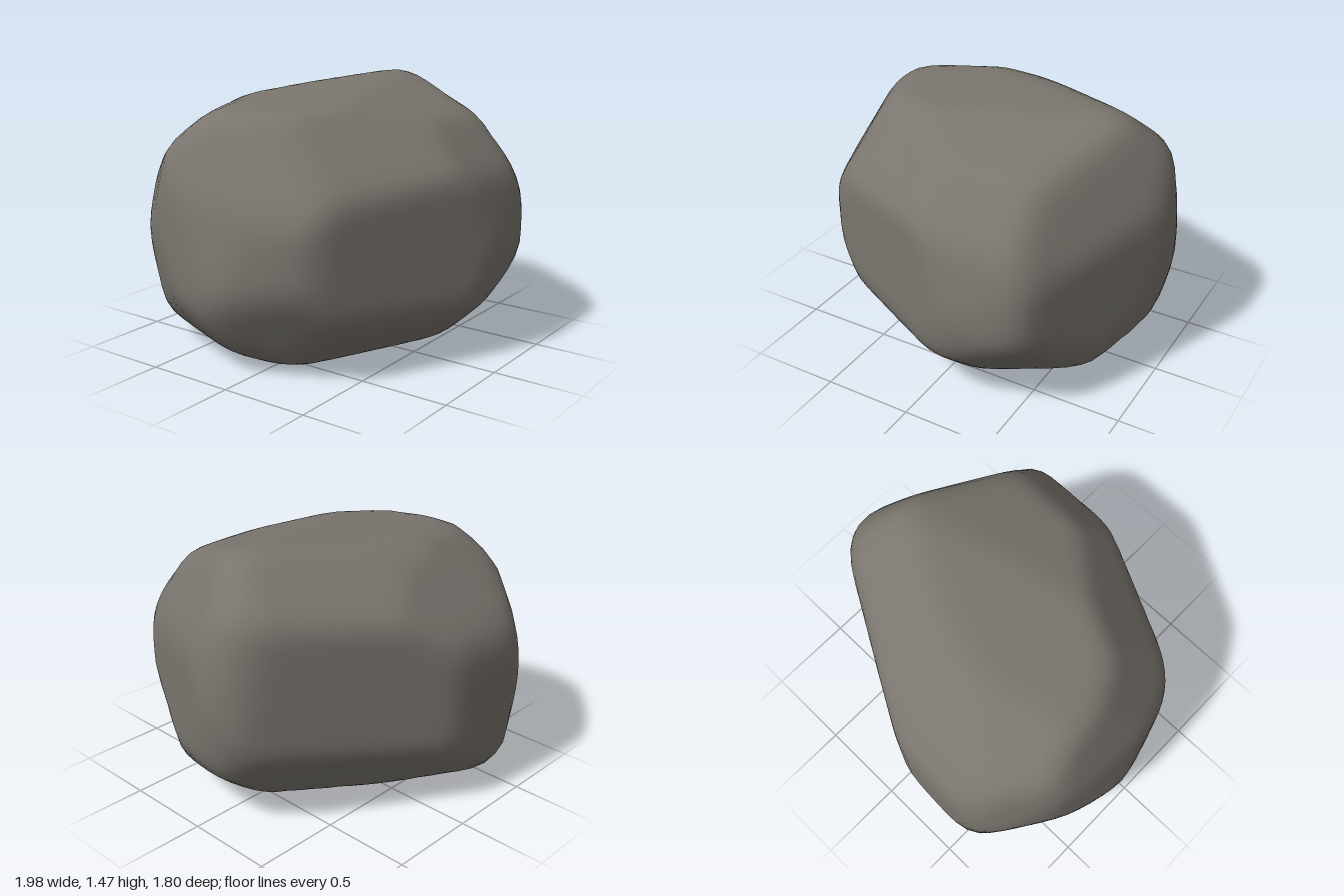
import * as THREE from 'three';
import { mergeVertices } from 'three/addons/utils/BufferGeometryUtils.js';

const CENTRE_Y = 0.73;
const X = new THREE.Vector3(1, 0, 0);
const Y = new THREE.Vector3(0, 1, 0);
const Z = new THREE.Vector3(0, 0, 1);

// Two axes turned about y, then tilted
function slanted(turn, tilt) {
  const rot = new THREE.Euler(THREE.MathUtils.degToRad(-tilt), THREE.MathUtils.degToRad(turn), 0, 'YXZ');
  return [X.clone().applyEuler(rot), Y.clone().applyEuler(rot)];
}

// Convex profiles about the stone's centre; each trims it along one direction
const frontCut = [[-0.56, -0.74], [-0.86, -0.6], [-1.01, -0.3], [-0.93, 0.2], [-0.75, 0.625],
  [0.7, 0.745], [0.93, 0.46], [1.01, 0.02], [0.93, -0.42], [0.65, -0.64]];
const sideCut = [[0.91, -0.13], [0.85, -0.41], [0.58, -0.66], [-0.1, -0.74], [-0.88, -0.63],
  [-0.9, 0.1], [-0.86, 0.24], [-0.5, 0.65], [-0.04, 0.75], [0.57, 0.56], [0.82, 0.27]];
const topCut = [[-1.01, -0.08], [-0.86, 0.41], [0.19, 0.91], [0.6, 0.85], [1.01, -0.1],
  [0.94, -0.3], [-0.06, -0.88], [-0.56, -0.91], [-0.72, -0.82], [-0.88, -0.54]];
const leftCornerCut = [[-0.97, 0.1], [-0.45, 0.87], [0.2, 0.8], [0.87, 0.37], [0.93, -0.25],
  [0.75, -0.7], [0.1, -0.88], [-0.25, -0.85], [-0.98, -0.25]];
const backCornerCut = [[-0.92, 0.55], [-0.57, 0.85], [0.26, 0.76], [0.9, 0.16], [0.9, -0.3],
  [0.58, -0.82], [-0.2, -0.96], [-0.96, -0.07]];
const undersideCut = [[-1.02, -0.28], [-1.02, -0.07], [-0.55, 0.92], [0.5, 0.68], [0.97, 0.39],
  [1.06, 0], [0.97, -0.44], [0.66, -0.8], [0.15, -0.86], [-0.52, -0.74]];

// Turn every profile edge into a cutting plane at distance h along normal n
function cuttingPlanes([u, v], points) {
  return points.map(([x, y], i) => {
    const [x2, y2] = points[(i + 1) % points.length];
    const edge = new THREE.Vector2(y2 - y, x - x2).normalize();
    if (edge.x * x + edge.y * y < 0) edge.negate();
    const h = Math.max(...points.map(([px, py]) => edge.x * px + edge.y * py));
    return { n: u.clone().multiplyScalar(edge.x).addScaledVector(v, edge.y), h };
  });
}

// Distance from the centre to the nearest cutting plane along d
function reach(planes, d) {
  let r = Infinity;
  for (const { n, h } of planes) {
    const c = n.dot(d);
    if (c > 1e-4) r = Math.min(r, h / c);
  }
  return r;
}

// Average over small rings of directions, which wears the edges round
function wornReach(planes, d) {
  const side = new THREE.Vector3().crossVectors(Math.abs(d.y) > 0.9 ? X : Y, d).normalize();
  const up = d.clone().cross(side);
  let sum = reach(planes, d), count = 1;
  for (const spread of [0.05, 0.11]) {
    for (let k = 0; k < 8; k++) {
      const t = (k / 8) * Math.PI * 2;
      const q = d.clone().addScaledVector(side, Math.cos(t) * spread).addScaledVector(up, Math.sin(t) * spread);
      sum += reach(planes, q.normalize());
      count++;
    }
  }
  return sum / count;
}

// A fine ball whose vertices move in or out to the worn cutting planes
function stoneGeometry() {
  const planes = [
    ...cuttingPlanes([X, Y], frontCut),
    ...cuttingPlanes([Z, Y], sideCut),
    ...cuttingPlanes([X, Z], topCut),
    ...cuttingPlanes(slanted(38, 22), leftCornerCut),
    ...cuttingPlanes(slanted(218, 22), backCornerCut),
    ...cuttingPlanes(slanted(142, -22), undersideCut),
  ];
  const ball = new THREE.IcosahedronGeometry(1, 15);
  ball.deleteAttribute('uv');
  ball.deleteAttribute('normal');
  const geo = mergeVertices(ball, 1e-4);
  const pos = geo.attributes.position;
  const d = new THREE.Vector3();
  for (let i = 0; i < pos.count; i++) {
    d.fromBufferAttribute(pos, i).normalize();
    d.multiplyScalar(wornReach(planes, d));
    pos.setXYZ(i, d.x, d.y + CENTRE_Y, d.z);
  }
  geo.computeVertexNormals();
  return geo;
}

export function createModel() {
  const group = new THREE.Group();
  group.name = 'rock';
  const stone = new THREE.MeshStandardMaterial({ color: 0x7a756e });
  stone.name = 'warm grey stone';
  const boulder = new THREE.Mesh(stoneGeometry(), stone);
  boulder.name = 'boulder';
  group.add(boulder);
  return group;
}
